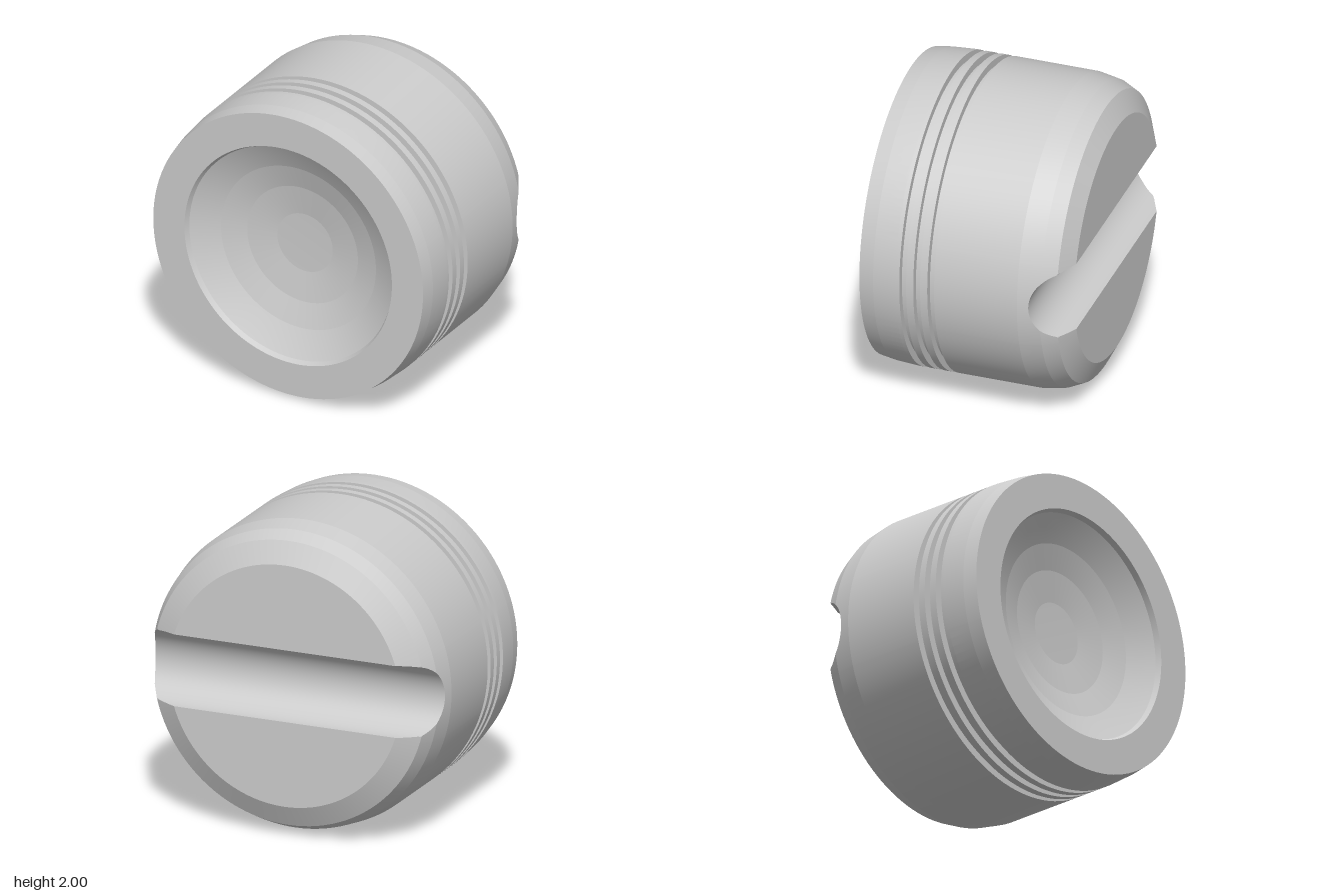
import * as THREE from 'three';
import { toCreasedNormals } from 'three/addons/utils/BufferGeometryUtils.js';

const BACK = -0.675, FRONT = 0.675, SLOT = 0.235, CREASE = 0.08;
// [radius, z] of the rounded rear shoulder
const shoulder = [[1, -0.37], [0.975, -0.51], [0.93, -0.605], [0.79, BACK]];
// [radius, depth] of the shallow dish in the front, from its centre to its rim
const dish = [[0, 0.21], [0.2, 0.205], [0.4, 0.175], [0.56, 0.125], [0.65, 0.082], [0.735, 0.035], [0.75, 0]];

// Radius of the shoulder at a given z
function radiusAt(z) {
  const i = shoulder.findIndex(([, zi], k) => k > 0 && z >= zi);
  const [r0, z0] = shoulder[i - 1], [r1, z1] = shoulder[i];
  return r0 + (r1 - r0) * (z - z0) / (z1 - z0);
}

// Surface through a grid of points, skipping collapsed triangles
function loft(rows) {
  const pos = [];
  const tri = (a, b, c) => {
    const area = b.clone().sub(a).cross(c.clone().sub(a)).length();
    if (area > 1e-9) for (const p of [a, b, c]) pos.push(p.x, p.y, p.z);
  };
  for (let i = 0; i < rows.length - 1; i++) {
    for (let j = 0; j < rows[i].length - 1; j++) {
      const a = rows[i][j], b = rows[i + 1][j], c = rows[i + 1][j + 1], d = rows[i][j + 1];
      tri(a, d, c);
      tri(a, c, b);
    }
  }
  const g = new THREE.BufferGeometry();
  g.setAttribute('position', new THREE.Float32BufferAttribute(pos, 3));
  return toCreasedNormals(g, CREASE);
}

export function createModel() {
  const group = new THREE.Group();
  const material = new THREE.MeshStandardMaterial({ color: 0xcccccc });
  const add = (name, geometry) => {
    const mesh = new THREE.Mesh(geometry, material);
    mesh.name = name;
    mesh.position.y = 1;
    group.add(mesh);
  };

  // Half-round slot across the back, ending on the shoulder surface
  const columns = [], slotRows = [];
  const N = 48;
  for (let i = 0; i <= N; i++) {
    const phi = Math.PI * i / N;
    const y = -SLOT * Math.cos(phi), z = BACK + SLOT * Math.sin(phi);
    const r = radiusAt(z), x = Math.sqrt(r * r - y * y);
    columns.push([Math.asin(y / r), z]);
    slotRows.push([new THREE.Vector3(x, y, z), new THREE.Vector3(-x, y, z)]);
  }
  add('slot', loft(slotRows));

  // Profile from the dish centre over the rim, three ring grooves and shoulder
  const profile = dish.map(([r, depth]) => [r, FRONT - depth]);
  profile.push([0.975, FRONT], [0.99, 0.58], [1, 0.43]);
  for (const z of [0.404, 0.312, 0.22]) {
    profile.push([1, z], [0.95, z], [0.95, z - 0.045], [1, z - 0.045]);
  }
  profile.push(...shoulder);

  // Body turned around z, each column stopping at the slot's edge
  const edge = Math.asin(SLOT / shoulder[3][0]);
  for (let i = 1; i < N; i++) columns.push([edge + (Math.PI - 2 * edge) * i / N, BACK]);
  const around = [...columns, ...columns.map(([t, z]) => [t + Math.PI, z]),
    [columns[0][0] + 2 * Math.PI, columns[0][1]]];
  add('body', loft(around.map(([t, end]) => profile.map(([r0, z0]) => {
    const r = z0 < end ? radiusAt(end) : r0;
    return new THREE.Vector3(r * Math.cos(t), r * Math.sin(t), Math.max(z0, end));
  }))));

  // Flat back faces on either side of the slot
  const segment = new THREE.Shape().absarc(0, 0, shoulder[3][0], edge, Math.PI - edge, false);
  for (const [name, turn] of [['upperBackFace', 0], ['lowerBackFace', Math.PI]]) {
    const face = new THREE.ShapeGeometry(segment, N);
    face.rotateY(Math.PI).rotateZ(turn).translate(0, 0, BACK);
    add(name, face);
  }
  return group;
}
